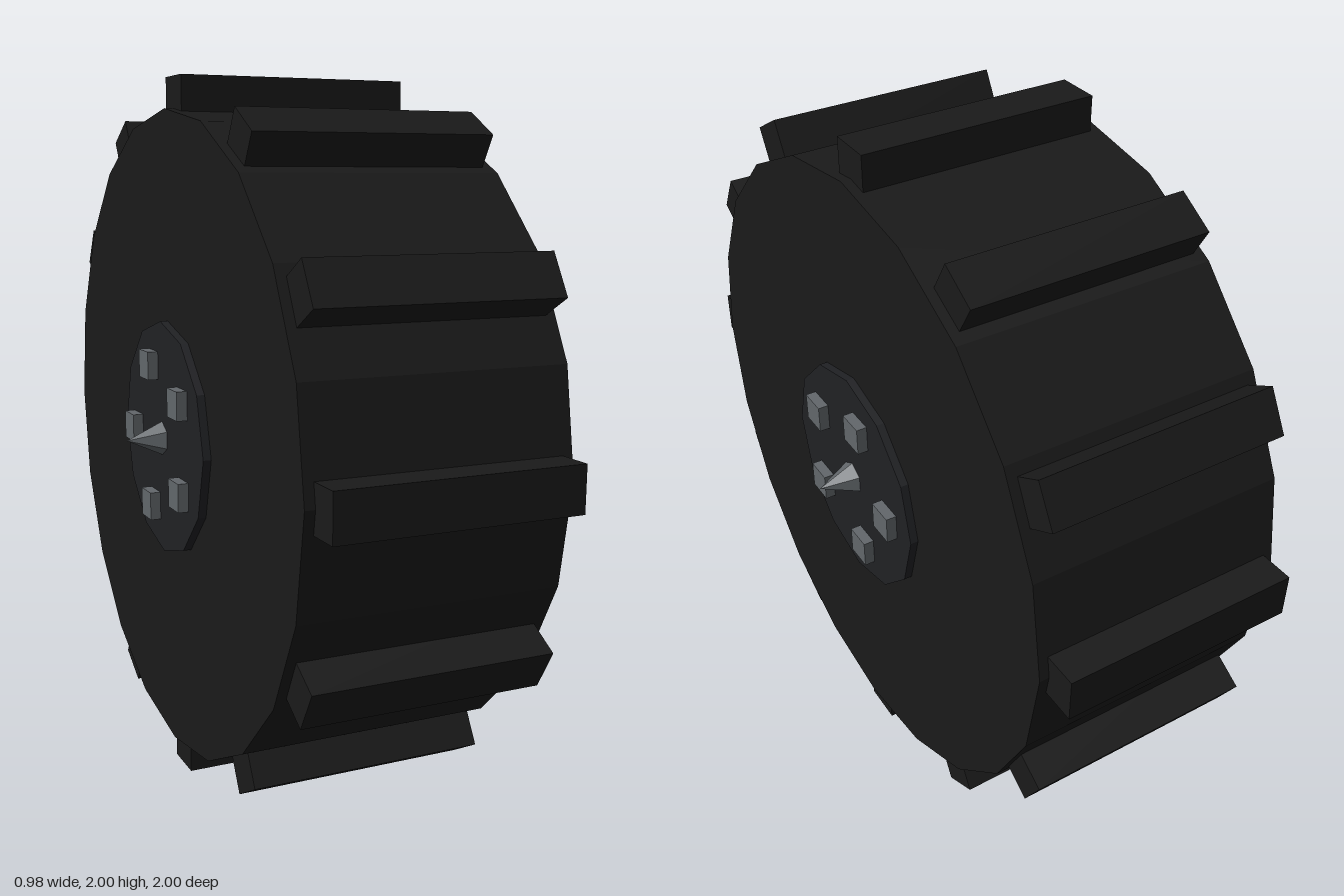
import * as THREE from 'three';

const mat = (color) => new THREE.MeshStandardMaterial({ color, flatShading: true });

export function createModel() {
  const wheel = new THREE.Group();
  wheel.name = 'wheel';
  const rubber = mat(0x1a1a1a);
  const hubMat = mat(0x202124);
  const steel = mat(0x62676b);

  const add = (parent, name, geometry, material) => {
    const mesh = new THREE.Mesh(geometry, material);
    mesh.name = name;
    parent.add(mesh);
    return mesh;
  };

  // Tyre: a 20-sided drum with its axle along x
  add(wheel, 'tyre', new THREE.CylinderGeometry(0.913, 0.913, 0.725, 20).rotateZ(Math.PI / 2), rubber);

  // Tread bars around the rim
  const treadGeo = new THREE.BoxGeometry(0.67, 0.17, 0.125).translate(0, 0.915, 0);
  for (let i = 0; i < 12; i++) {
    add(wheel, 'treadBar', treadGeo, rubber).rotation.x = (i * Math.PI) / 6;
  }

  // Hub, bolts and centre spike, mirrored on both sides
  const hubGeo = new THREE.CylinderGeometry(0.333, 0.333, 0.045, 12).rotateZ(Math.PI / 2);
  const boltGeo = new THREE.BoxGeometry(0.05, 0.08, 0.08);
  const spikeGeo = new THREE.ConeGeometry(0.053, 0.115, 6, 1, false, Math.PI / 2).rotateZ(-Math.PI / 2);
  for (const side of [1, -1]) {
    const hub = new THREE.Group();
    hub.name = side > 0 ? 'leftHub' : 'rightHub';
    hub.position.y = 0;
    wheel.add(hub);
    add(hub, 'hubPlate', hubGeo, hubMat).position.x = side * 0.3625;
    for (let i = 0; i < 5; i++) {
      const a = (i * Math.PI * 2) / 5;
      add(hub, 'bolt', boltGeo, steel).position.set(side * 0.39, 0.215 * Math.sin(a), -0.215 * Math.cos(a));
    }
    const spike = add(hub, 'spike', spikeGeo, steel);
    spike.position.x = side * 0.4325;
    if (side < 0) spike.rotation.y = Math.PI;
  }

  wheel.position.y = 1;
  const model = new THREE.Group();
  model.name = 'treadedWheel';
  model.add(wheel);
  return model;
}
